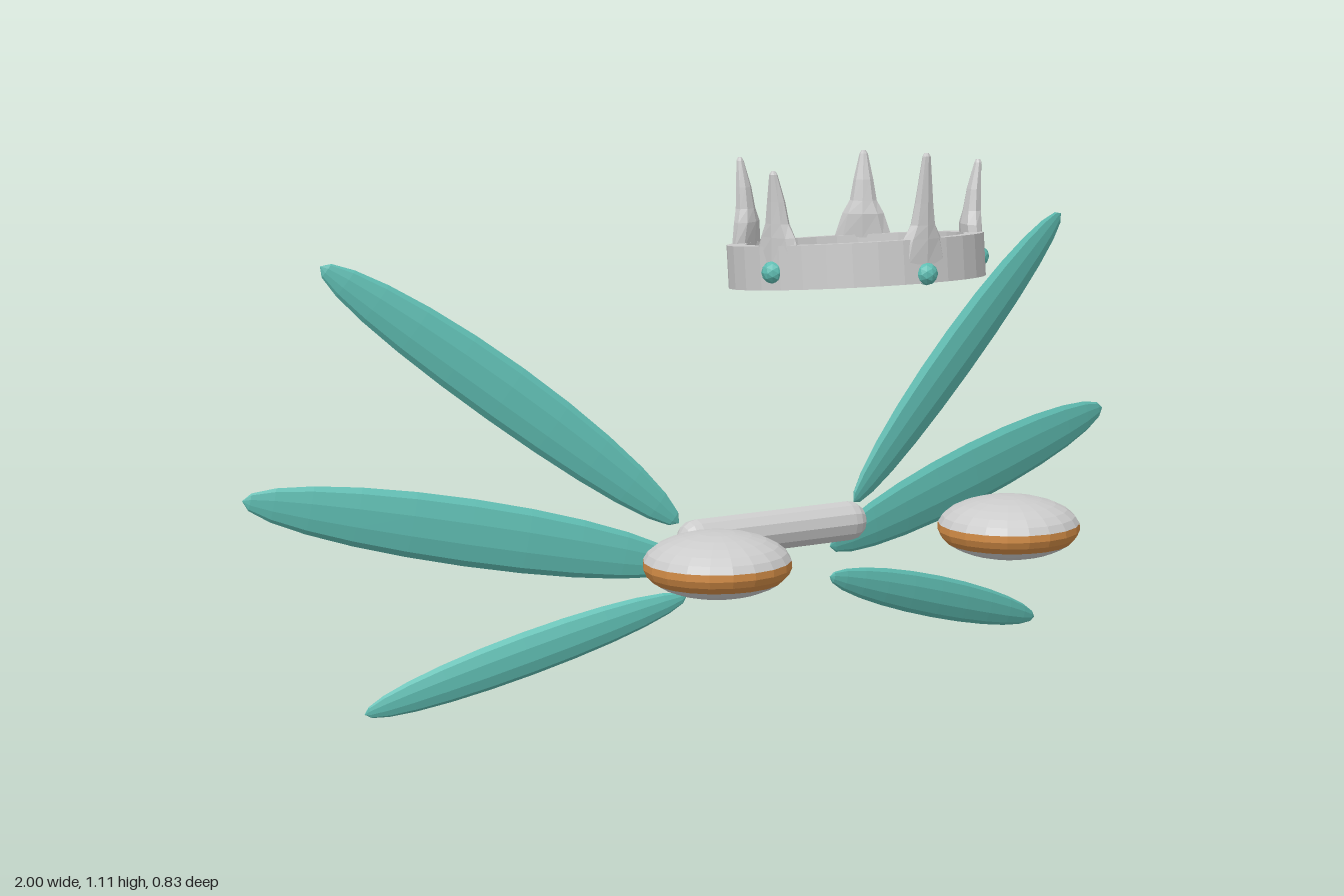
import * as THREE from 'three';

const paint = (color, side = THREE.FrontSide) =>
  new THREE.MeshStandardMaterial({ color, flatShading: true, side });
const grey = paint(0xcccccc);
const teal = paint(0x5fbdb2);
const orange = paint(0xd08a45);

function addMesh(parent, name, geometry, material, x = 0, y = 0, z = 0) {
  const mesh = new THREE.Mesh(geometry, material);
  mesh.name = name;
  mesh.position.set(x, y, z);
  parent.add(mesh);
  return mesh;
}

// Flat spindle blade from base to tip, lying in an upright plane
function addBlade(parent, name, base, tip, halfWidth, bow) {
  const a = new THREE.Vector3(...base), b = new THREE.Vector3(...tip);
  const length = a.distanceTo(b);
  const geometry = new THREE.SphereGeometry(1, 10, 12);
  const p = geometry.attributes.position;
  for (let i = 0; i < p.count; i++) {
    const t = p.getY(i);
    p.setXYZ(i, p.getX(i) * halfWidth + bow * (1 - t * t), t * length / 2, p.getZ(i) * 0.018);
  }
  const along = b.clone().sub(a).normalize();
  const across = new THREE.Vector3(0, 1, 0).addScaledVector(along, -along.y).normalize();
  const normal = across.clone().cross(along);
  geometry.applyMatrix4(new THREE.Matrix4().makeBasis(across, along, normal));
  const c = a.add(b).multiplyScalar(0.5);
  addMesh(parent, name, geometry, teal, c.x, c.y, c.z);
}

// Crown spike: rows of [height, half width, inner radius, outer radius]
function spikeGeometry(rise) {
  const rows = [
    [0, 0.055, 0.205, 0.24], [0.045, 0.04, 0.202, 0.241], [0.07, 0.026, 0.207, 0.241],
    [0.11, 0.019, 0.214, 0.241], [rise - 0.006, 0.008, 0.228, 0.242], [rise, 0.004, 0.231, 0.239],
  ];
  const geometry = new THREE.CylinderGeometry(1, 1, 1, 8, rows.length - 1);
  const p = geometry.attributes.position;
  for (let i = 0; i < p.count; i++) {
    const [y, w, inner, outer] = rows[Math.round((p.getY(i) + 0.5) * (rows.length - 1))];
    p.setXYZ(i, p.getX(i) * w, y, (inner + outer) / 2 + p.getZ(i) * (outer - inner) / 2);
  }
  return geometry;
}

// Slice of a flattened ball between two latitudes
function ballSlice(from, to, steps) {
  const points = [];
  for (let i = 0; i <= steps; i++) {
    const a = from + (to - from) * i / steps;
    points.push(new THREE.Vector2(Math.max(0, Math.cos(a) * 0.138), Math.sin(a) * 0.06));
  }
  return new THREE.LatheGeometry(points, 20);
}

export function createModel() {
  const model = new THREE.Group();
  model.name = 'crownAndWings';

  // Crown: tilted band with five upright spikes and gems
  const crown = new THREE.Group();
  crown.name = 'crown';
  crown.position.set(0, 0.89, 0.155);
  model.add(crown);
  const ring = [[0.205, -0.04], [0.24, -0.04], [0.24, 0.04], [0.205, 0.04], [0.205, -0.04]];
  const band = addMesh(crown, 'crownBand',
    new THREE.LatheGeometry(ring.map(([x, y]) => new THREE.Vector2(x, y)), 32), grey);
  band.rotation.x = -0.098;
  for (let i = 0; i < 5; i++) {
    const angle = i * Math.PI * 2 / 5;
    const spike = addMesh(crown, 'crownSpike', spikeGeometry(i === 0 ? 0.2 : 0.165), grey, 0, 0.018, 0);
    spike.rotation.y = angle;
    addMesh(crown, 'crownGem', new THREE.IcosahedronGeometry(0.021, 1), teal,
      Math.sin(angle) * 0.237, 0, Math.cos(angle) * 0.237);
  }

  // Back bar
  const bar = addMesh(model, 'backBar', new THREE.CapsuleGeometry(0.04, 0.345, 4, 12), grey, 0, 0.323, -0.147);
  bar.rotation.z = Math.PI / 2;

  for (const s of [1, -1]) {
    const label = s > 0 ? 'left' : 'right';

    // Flattened pads with a coloured belt
    const pad = new THREE.Group();
    pad.name = label + 'Pad';
    pad.position.set(s * 0.325, 0.355, 0.195);
    model.add(pad);
    const low = -0.52, high = 0.14, pole = Math.PI / 2;
    addMesh(pad, 'padBottom', ballSlice(-pole, low, 5), grey);
    addMesh(pad, 'padBelt', ballSlice(low, high, 3), orange);
    addMesh(pad, 'padTop', ballSlice(high, pole, 6), grey);

    // Wing of three blades
    const wing = new THREE.Group();
    wing.name = label + 'Wing';
    model.add(wing);
    addBlade(wing, 'upperBlade', [s * 0.2, 0.355, -0.167], [s * 0.85, 0.878, -0.37], 0.06, 0.008);
    addBlade(wing, 'middleBlade', [s * 0.165, 0.262, -0.2], [s, 0.44, -0.415], 0.066, 0.002);
    addBlade(wing, 'lowerBlade', [s * 0.165, 0.2, -0.2], [s * 0.785, 0.01, -0.36], 0.044, 0.002);
  }
  return model;
}
